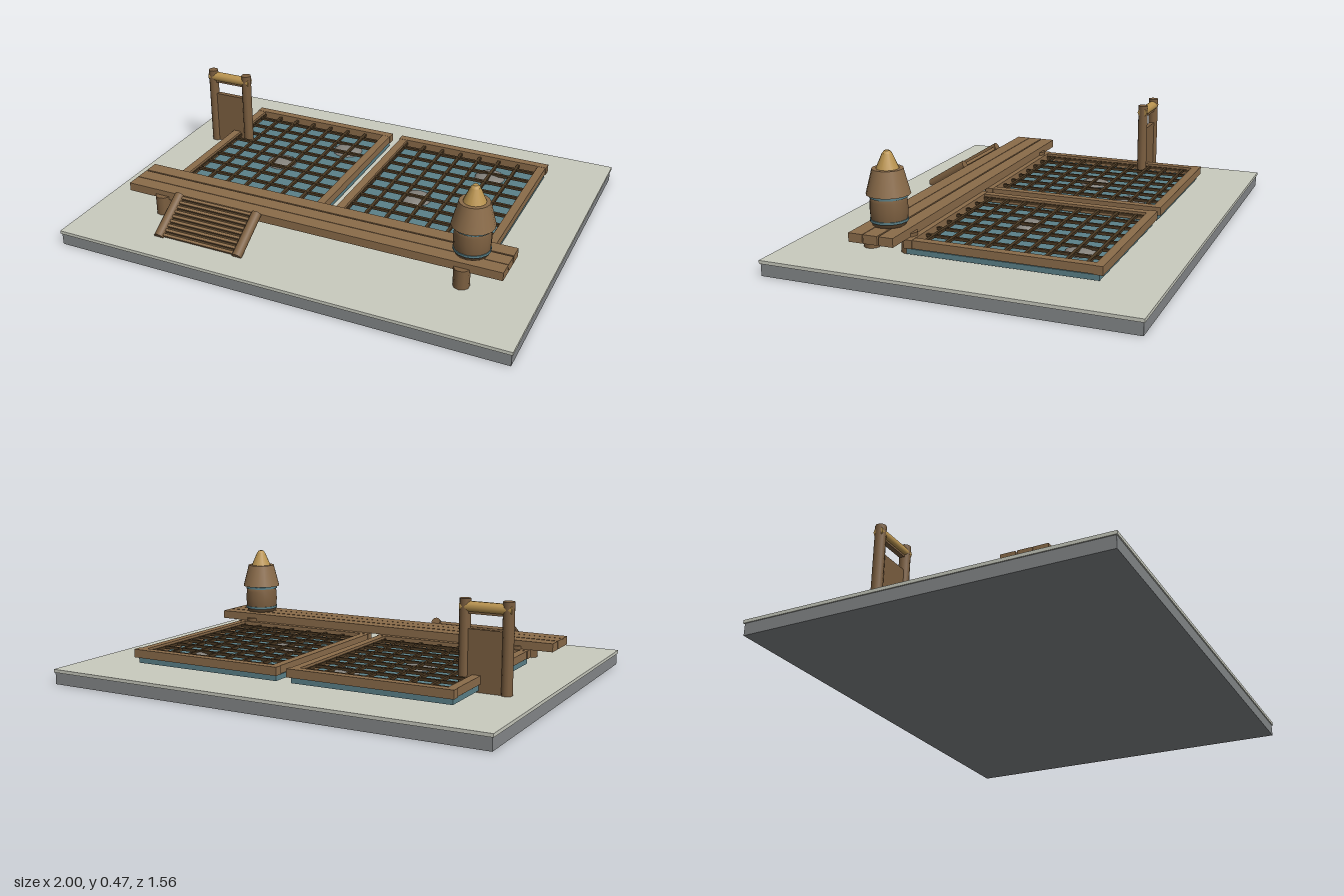
import * as THREE from 'three';

const mat = (name, color) => Object.assign(new THREE.MeshStandardMaterial({ color }), { name });

export function createModel() {
  const root = new THREE.Group();
  root.name = 'pondPens';
  const stone = mat('stoneGrey', 0x85888a);
  const sand = mat('paleGround', 0xc9cbbf);
  const wood = mat('wood', 0x8b6c4a);
  const brown = mat('darkerWood', 0x7c5f40);
  const dark = mat('netBrown', 0x4a3822);
  const water = mat('water', 0x5b8189);
  const straw = mat('straw', 0xba9450);
  const rock = mat('rock', 0x85827c);

  const add = (parent, name, geo, material, x = 0, y = 0, z = 0) => {
    const m = new THREE.Mesh(geo, material);
    m.name = name;
    m.position.set(x, y, z);
    parent.add(m);
    return m;
  };
  const box = (parent, name, material, w, h, d, x, y, z) =>
    add(parent, name, new THREE.BoxGeometry(w, h, d), material, x, y, z);
  const post = (parent, name, material, r, h, x, y, z, sides = 10) =>
    add(parent, name, new THREE.CylinderGeometry(r, r, h, sides), material, x, y, z);

  // Base slab with a pale top layer
  box(root, 'baseSlab', stone, 1.99, 0.052, 1.55, 0, 0.026, 0);
  box(root, 'groundTop', sand, 2, 0.014, 1.56, 0, 0.059, 0);

  // Two netted pools
  const zBack = -0.545, zFront = 0.275, zMid = (zBack + zFront) / 2;
  for (const side of [-1, 1]) {
    const pool = new THREE.Group();
    pool.name = side < 0 ? 'rightPool' : 'leftPool';
    pool.position.x = side * 0.388;
    root.add(pool);
    box(pool, 'water', water, 0.705, 0.022, 0.8, 0, 0.085, zMid + 0.005);
    for (const s of [-1, 1]) {
      box(pool, 'sideRail', wood, 0.036, 0.034, 0.8, s * 0.342, 0.118, zMid);
      box(pool, 'endRail', wood, 0.728, 0.036, 0.036, 0, 0.118, zMid + s * 0.394);
    }
    for (let i = 0; i < 8; i++)
      box(pool, 'netBarLong', dark, 0.013, 0.012, 0.77, -0.325 + i * 0.0929, 0.118, zMid);
    for (let i = 0; i < 10; i++)
      box(pool, 'netBarCross', dark, 0.67, 0.012, 0.013, 0, 0.119, -0.466 + i * 0.0843 - 0.0);
  }

  // Flattened rocks in the water
  for (const [x, z] of [[-0.18, -0.36], [-0.41, -0.12], [0.525, -0.385], [0.29, -0.063]])
    add(root, 'rock', new THREE.SphereGeometry(0.07, 16, 10), rock, x, 0.094, z).scale.y = 0.35;

  // Walkway planks on stubby legs
  for (const z of [0.296, 0.365, 0.43])
    box(root, 'walkwayPlank', wood, 1.71, 0.037, 0.062, 0, 0.155, z);
  for (const x of [-0.687, 0.687])
    for (const z of [0.283, 0.455])
      post(root, 'walkwayLeg', brown, 0.034, 0.085, x, 0.108, z);

  // Sloping ramp, built flat along its own z and tilted
  const ramp = new THREE.Group();
  ramp.name = 'ramp';
  ramp.position.set(-0.403, 0.123, 0.558);
  ramp.rotation.x = Math.atan2(0.1, 0.16);
  root.add(ramp);
  for (const s of [-1, 1])
    post(ramp, 'rampRail', brown, 0.022, 0.21, s * 0.188, 0, 0).rotation.x = Math.PI / 2;
  box(ramp, 'rampBacking', dark, 0.36, 0.006, 0.195, 0, -0.006, 0);
  for (let i = 0; i < 9; i++)
    box(ramp, 'rampSlat', wood, 0.36, 0.012, 0.012, 0, 0.002, -0.092 + i * 0.023);

  // Upright gate with a roller bar
  const gate = new THREE.Group();
  gate.name = 'gate';
  gate.position.set(-0.763, 0, -0.27);
  root.add(gate);
  for (const s of [-1, 1])
    post(gate, 'gatePost', brown, 0.023, 0.37, s * 0.09, 0.249, 0);
  box(gate, 'gateBoard', brown, 0.15, 0.25, 0.022, 0, 0.191, 0);
  box(gate, 'gateTopStrip', brown, 0.15, 0.016, 0.022, 0, 0.383, 0);
  post(gate, 'gateRoller', straw, 0.022, 0.215, 0, 0.402, 0).rotation.z = Math.PI / 2;

  // Hooped barrel with a tapered roof and cone cap
  const barrel = new THREE.Group();
  barrel.name = 'barrel';
  barrel.position.set(0.695, 0.174, 0.367);
  root.add(barrel);
  const bulge = [[0, 0], [0.069, 0], [0.075, 0.03], [0.077, 0.065], [0.075, 0.1], [0.07, 0.13], [0, 0.13]];
  add(barrel, 'barrelBody', new THREE.LatheGeometry(bulge.map(p => new THREE.Vector2(...p)), 16), brown);
  for (const y of [0.021, 0.119])
    add(barrel, 'barrelHoop', new THREE.CylinderGeometry(0.0775, 0.0775, 0.01, 16), water, 0, y, 0);
  add(barrel, 'barrelRoof', new THREE.CylinderGeometry(0.063, 0.09, 0.103, 16), wood, 0, 0.178, 0);
  add(barrel, 'barrelCap', new THREE.CylinderGeometry(0.02, 0.047, 0.062, 16), straw, 0, 0.259, 0);
  add(barrel, 'barrelCapTip', new THREE.CylinderGeometry(0.011, 0.02, 0.011, 16), straw, 0, 0.295, 0);

  return root;
}
